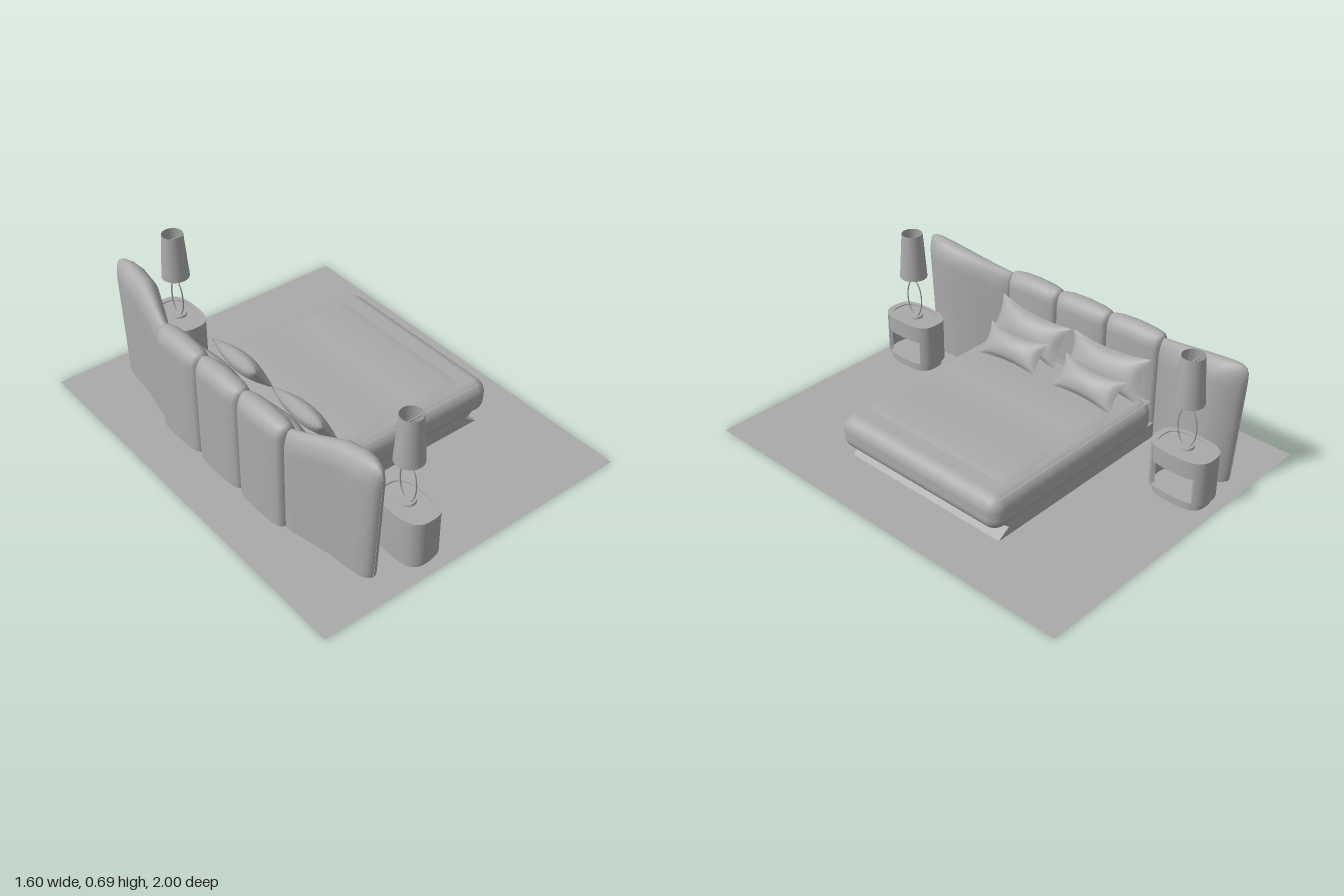
import * as THREE from 'three';
import { mergeGeometries } from 'three/addons/utils/BufferGeometryUtils.js';
import { RoundedBoxGeometry } from 'three/addons/geometries/RoundedBoxGeometry.js';

const grey = new THREE.MeshStandardMaterial({ color: 0xaaaaaa, side: THREE.DoubleSide });
grey.name = 'plain grey';

function add(parent, name, geometry, x = 0, y = 0, z = 0) {
  const mesh = new THREE.Mesh(geometry, grey);
  mesh.name = name;
  mesh.position.set(x, y, z);
  parent.add(mesh);
  return mesh;
}

// Upright padded panel: stations are [z, centre x, half thickness, height], z rising
function paddedPanel(stations, cap, lean = 0) {
  const pos = [], idx = [], side = 6, arc = 12, n = side * 2 + arc;
  for (const [z, cx, half, h] of stations) {
    for (let j = 0; j <= n; j++) {
      let x, y;
      if (j < side) { x = half; y = (h - cap) * j / side; }
      else if (j > side + arc) { x = -half; y = (h - cap) * (n - j) / side; }
      else {
        const a = Math.PI * (j - side) / arc;
        x = half * Math.cos(a);
        y = h - cap + cap * Math.sin(a);
      }
      // outer edge leans outwards towards the top
      const out = lean * Math.max(0, Math.abs(z) - 0.45) / 0.48 * (1 - y / 0.6);
      pos.push(cx + x, y, z - Math.sign(z) * out);
    }
  }
  for (let i = 0; i < stations.length - 1; i++) {
    for (let j = 0; j < n; j++) {
      const a = i * (n + 1) + j, b = a + n + 1;
      idx.push(a, a + 1, b, b, a + 1, b + 1);
    }
  }
  const g = new THREE.BufferGeometry();
  g.setAttribute('position', new THREE.Float32BufferAttribute(pos, 3));
  g.setIndex(idx);
  g.computeVertexNormals();
  return g;
}

// Pillow with pinched corners: face towards +z, width w, height h, thickness t
function pillow(w, h, t) {
  const half = () => {
    const g = new THREE.PlaneGeometry(2, 2, 20, 16), p = g.attributes.position;
    for (let i = 0; i < p.count; i++) {
      const u = p.getX(i), v = p.getY(i), cu = 1 - u * u, cv = 1 - v * v;
      p.setXYZ(i, u * w / 2 * (1 - 0.1 * cv), v * h / 2 * (1 - 0.2 * cu),
        t / 2 * Math.pow(Math.max(0, cu * cv), 0.55));
    }
    g.computeVertexNormals();
    return g;
  };
  return mergeGeometries([half(), half().rotateY(Math.PI)]);
}

// Rounded oval plan of the nightstand, scaled by s
function ovalPoint(a, s) {
  const c = Math.cos(a), d = Math.sin(a);
  return new THREE.Vector2(0.096 * s * Math.sign(c) * Math.pow(Math.abs(c), 0.7),
    0.148 * s * Math.sign(d) * Math.pow(Math.abs(d), 0.7));
}
function ovalArc(s, from, to) {
  return Array.from({ length: 49 }, (_, i) => ovalPoint(from + (to - from) * i / 48, s));
}
const oval = s => new THREE.Shape(ovalArc(s, 0, Math.PI * 2));
function slab(shape, height) {
  return new THREE.ExtrudeGeometry(shape, { depth: height, bevelEnabled: false }).rotateX(-Math.PI / 2);
}

function nightstand() {
  const g = new THREE.Group();
  g.name = 'nightstand';
  add(g, 'standPlinth', slab(oval(0.88), 0.035));
  add(g, 'standBottom', slab(oval(1), 0.012), 0, 0.035);
  // wrap-around wall open to the foot of the bed
  const open = 0.7;
  const wall = new THREE.Shape([
    ...ovalArc(1, open, Math.PI * 2 - open),
    ...ovalArc(0.87, Math.PI * 2 - open, open)]);
  add(g, 'standWall', slab(wall, 0.19), 0, 0.047);
  add(g, 'standDrawer', slab(oval(0.97), 0.07), 0, 0.165);
  const rim = oval(1);
  rim.holes.push(new THREE.Path(ovalArc(0.8, 0, Math.PI * 2)));
  add(g, 'standRim', slab(rim, 0.015), 0, 0.235);
  add(g, 'standTop', slab(oval(0.8), 0.01), 0, 0.235);
  return g;
}

function lamp() {
  const g = new THREE.Group();
  g.name = 'lamp';
  add(g, 'lampFoot', new THREE.CylinderGeometry(0.035, 0.038, 0.01, 32), 0, 0.25);
  const ring = new THREE.TorusGeometry(0.095, 0.004, 8, 48).scale(0.5, 1, 1).rotateY(Math.PI / 2);
  add(g, 'lampRing', ring, 0, 0.345);
  add(g, 'lampStem', new THREE.CylinderGeometry(0.004, 0.004, 0.06, 10), 0, 0.465);
  add(g, 'lampShade', new THREE.CylinderGeometry(0.05, 0.066, 0.225, 40, 1, true), 0, 0.578);
  add(g, 'shadeBar', new THREE.BoxGeometry(0.1, 0.004, 0.005), 0, 0.66);
  return g;
}

export function createModel() {
  const model = new THREE.Group();
  model.name = 'bedroomSet';
  add(model, 'floor', new THREE.PlaneGeometry(1.6, 2).rotateX(-Math.PI / 2));

  const bed = new THREE.Group();
  bed.name = 'bed';
  bed.position.z = -0.02;
  model.add(bed);

  // plinth with a flared foot
  const profile = new THREE.Shape([[-0.5, 0], [0.53, 0], [0.47, 0.04], [0.51, 0.075], [-0.5, 0.075]]
    .map(p => new THREE.Vector2(...p)));
  add(bed, 'bedPlinth', new THREE.ExtrudeGeometry(profile, { depth: 0.89, bevelEnabled: false }), 0, 0.002, -0.445);
  add(bed, 'mattress', new RoundedBoxGeometry(1.04, 0.165, 0.945, 8, 0.065), 0.06, 0.1425, 0);

  // softly waved cover on the mattress
  const cover = new THREE.PlaneGeometry(0.98, 0.9, 40, 30).rotateX(-Math.PI / 2);
  const cp = cover.attributes.position;
  for (let i = 0; i < cp.count; i++) {
    const u = cp.getX(i) / 0.49, v = cp.getZ(i) / 0.45;
    const edge = Math.min(1, (1 - Math.abs(u)) * 5) * Math.min(1, (1 - Math.abs(v)) * 8);
    cp.setY(i, 0.212 + edge * (0.018 + 0.004 * Math.cos(u * 7 - 3.9)));
  }
  cover.computeVertexNormals();
  add(bed, 'bedCover', cover, 0.04);

  // three padded centre panels
  const edges = [[-0.149, 0.012, 0.505], [-0.145, 0.035, 0.518], [-0.13, 0.05, 0.525], [-0.09, 0.058, 0.531]];
  for (const k of [-1, 0, 1]) {
    const half = edges.map(([z, t, h]) => [z, -0.526, t, h]);
    const full = [...half, [0, -0.526, 0.06, 0.535], ...half.map(([z, ...r]) => [-z, ...r]).reverse()];
    add(bed, 'headboardPanel', paddedPanel(full.map(([z, ...r]) => [z + k * 0.297, ...r]), 0.07));
  }

  // angled wings on both sides
  const wing = [[0.446, -0.52, 0.015, 0.5], [0.452, -0.518, 0.036, 0.512], [0.5, -0.507, 0.042, 0.522],
    [0.6, -0.477, 0.052, 0.55], [0.7, -0.449, 0.062, 0.578], [0.8, -0.441, 0.062, 0.593],
    [0.85, -0.443, 0.054, 0.597], [0.89, -0.448, 0.042, 0.594], [0.915, -0.451, 0.027, 0.582],
    [0.926, -0.452, 0.013, 0.565], [0.93, -0.452, 0.001, 0.55]];
  add(bed, 'leftWing', paddedPanel(wing, 0.1, 0.04));
  add(bed, 'rightWing', paddedPanel(wing.map(([z, ...r]) => [-z, ...r]).reverse(), 0.1, 0.04));

  // pillows lean back against the headboard: [name, size, x, y, z, tilt, roll]
  const pillows = [
    ['backPillow', [0.43, 0.21, 0.1], -0.4, 0.325, 0.235, 0.45, -0.06],
    ['backPillow', [0.43, 0.21, 0.1], -0.4, 0.325, -0.225, 0.45, 0.03],
    ['frontPillow', [0.35, 0.16, 0.09], -0.265, 0.302, 0.21, 0.65, 0.03],
    ['frontPillow', [0.35, 0.16, 0.09], -0.265, 0.302, -0.24, 0.65, -0.03]];
  for (const [name, size, x, y, z, tilt, roll] of pillows) {
    const g = pillow(...size).rotateZ(roll).rotateX(-tilt).rotateY(Math.PI / 2);
    add(bed, name, g, x, y, z);
  }

  // a nightstand and lamp on each side
  for (const s of [-1, 1]) {
    const set = new THREE.Group();
    set.name = s > 0 ? 'leftBedside' : 'rightBedside';
    set.position.set(-0.237, 0, s * 0.814);
    set.add(nightstand(), lamp());
    model.add(set);
  }
  return model;
}
